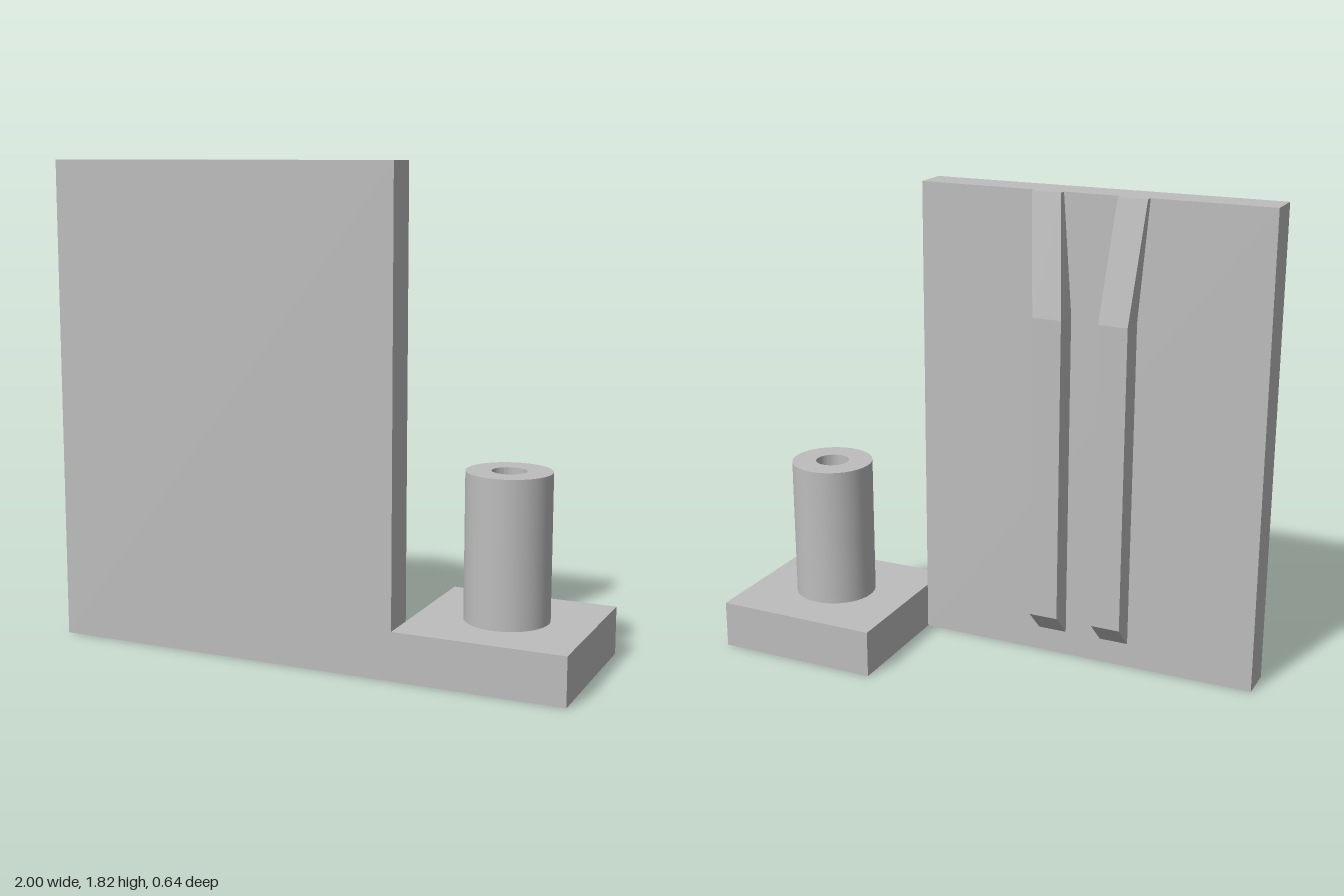
import * as THREE from 'three';
import { toCreasedNormals } from 'three/addons/utils/BufferGeometryUtils.js';

const grey = new THREE.MeshStandardMaterial({ color: 0xbdbdbd });
grey.name = 'plain grey';

// Box given by its lower and upper limits on each axis
function block(name, [x0, x1], [y0, y1], [z0, z1]) {
  const mesh = new THREE.Mesh(new THREE.BoxGeometry(x1 - x0, y1 - y0, z1 - z0), grey);
  mesh.position.set((x0 + x1) / 2, (y0 + y1) / 2, (z0 + z1) / 2);
  mesh.name = name;
  return mesh;
}

// Guide rail: sloped underside, upper part tapers back and splays away from the slot
function guideRail(name, side) {
  const geometry = new THREE.BoxGeometry(0.113, 1, 1, 1, 2, 1);
  const p = geometry.attributes.position;
  for (let i = 0; i < p.count; i++) {
    const level = Math.round(p.getY(i) * 2) + 1; // 0 bottom, 1 bend, 2 top
    const outer = p.getZ(i) < 0; // face away from the panel
    const x = p.getX(i) + side * (level === 2 ? 0.164 : 0.128);
    const y = [outer ? 0.19 : 0.095, 1.37, 1.82][level];
    const z = outer ? [0.085, 0.085, 0.155][level] : 0.182;
    p.setXYZ(i, x, y, z);
  }
  const flat = geometry.toNonIndexed();
  flat.computeVertexNormals();
  const mesh = new THREE.Mesh(flat, grey);
  mesh.position.x = -0.32;
  mesh.name = name;
  return mesh;
}

// Round post with a central bore reaching down to the foot
function post() {
  const profile = [[0.157, 0.18], [0.157, 0.728], [0.064, 0.728], [0.064, 0.18]]
    .map(([r, y]) => new THREE.Vector2(r, y));
  const geometry = toCreasedNormals(new THREE.LatheGeometry(profile, 64), 0.6);
  const mesh = new THREE.Mesh(geometry, grey);
  mesh.position.x = 0.68;
  mesh.name = 'hollowPost';
  return mesh;
}

export function createModel() {
  const model = new THREE.Group();
  model.name = 'bracket';
  model.add(
    block('panel', [-1, 0.36], [0, 1.82], [0.182, 0.318]),
    block('foot', [0.36, 1], [0, 0.182], [-0.318, 0.318]),
    post(),
    guideRail('leftRail', 1),
    guideRail('rightRail', -1),
  );
  return model;
}
